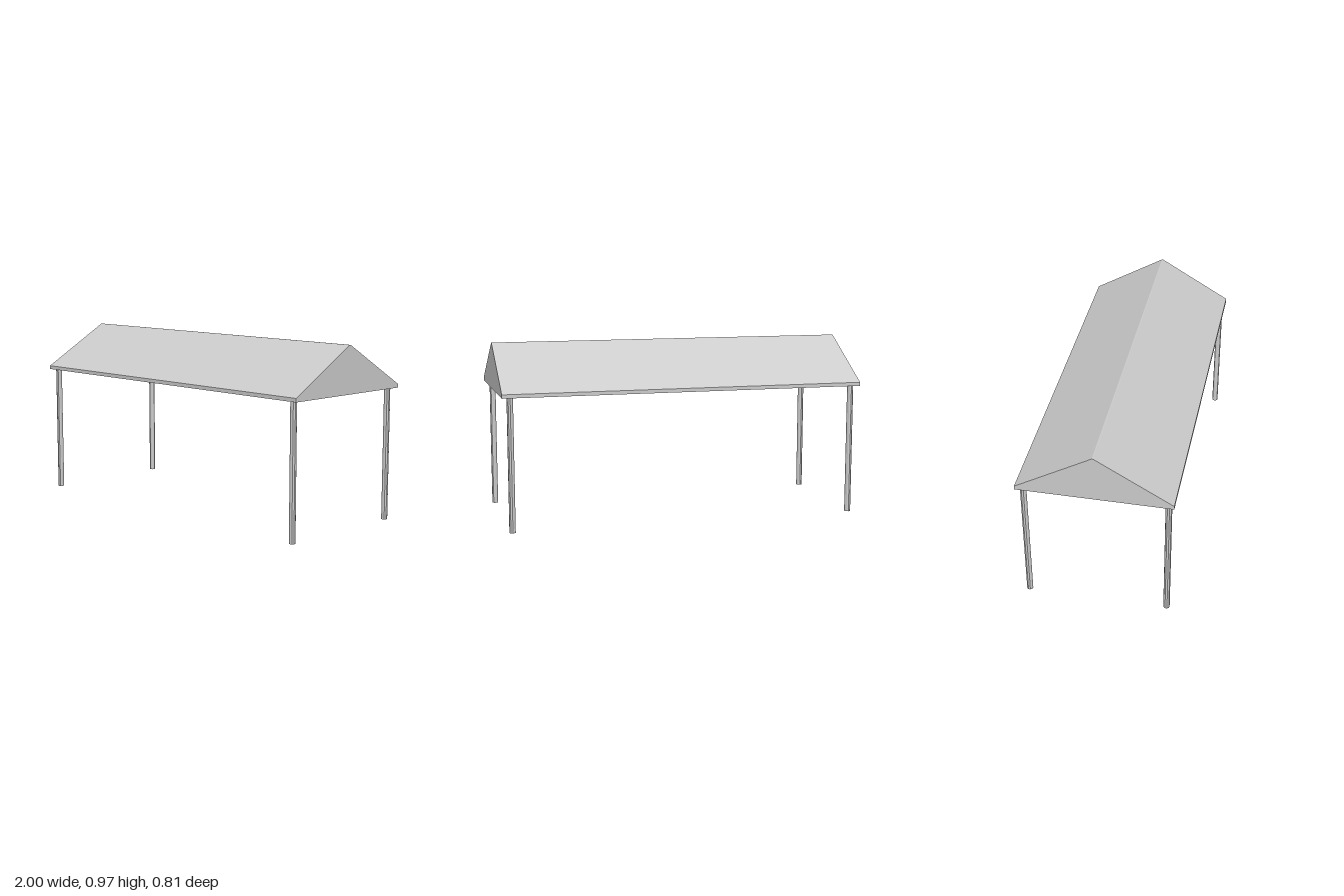
import * as THREE from 'three';

export function createModel() {
  const model = new THREE.Group();
  const material = new THREE.MeshStandardMaterial({ color: 0xcccccc, flatShading: true });

  const length = 2, halfDepth = 0.405;
  const eaveBottom = 0.72, eaveTop = 0.74, ridgeTop = 0.974;
  const ridgeHalf = 0.004; // narrow flat along the ridge

  // Solid gable roof: end profile extruded along x
  const profile = new THREE.Shape([
    new THREE.Vector2(-halfDepth, eaveBottom),
    new THREE.Vector2(halfDepth, eaveBottom),
    new THREE.Vector2(halfDepth, eaveTop),
    new THREE.Vector2(ridgeHalf, ridgeTop),
    new THREE.Vector2(-ridgeHalf, ridgeTop),
    new THREE.Vector2(-halfDepth, eaveTop),
  ]);
  const roofGeometry = new THREE.ExtrudeGeometry(profile, { depth: length, bevelEnabled: false });
  roofGeometry.translate(0, 0, -length / 2).rotateY(Math.PI / 2);
  const roof = new THREE.Mesh(roofGeometry, material);
  roof.name = 'gableRoof';
  model.add(roof);

  // Four slender corner posts
  const postGeometry = new THREE.CylinderGeometry(0.017, 0.017, eaveBottom, 10);
  for (const [sideName, sx] of [['Left', 1], ['Right', -1]]) {
    for (const [endName, sz] of [['front', 1], ['back', -1]]) {
      const post = new THREE.Mesh(postGeometry, material);
      post.name = `${endName}${sideName}Post`;
      post.position.set(sx * 0.955, eaveBottom / 2, sz * 0.372);
      model.add(post);
    }
  }
  return model;
}
